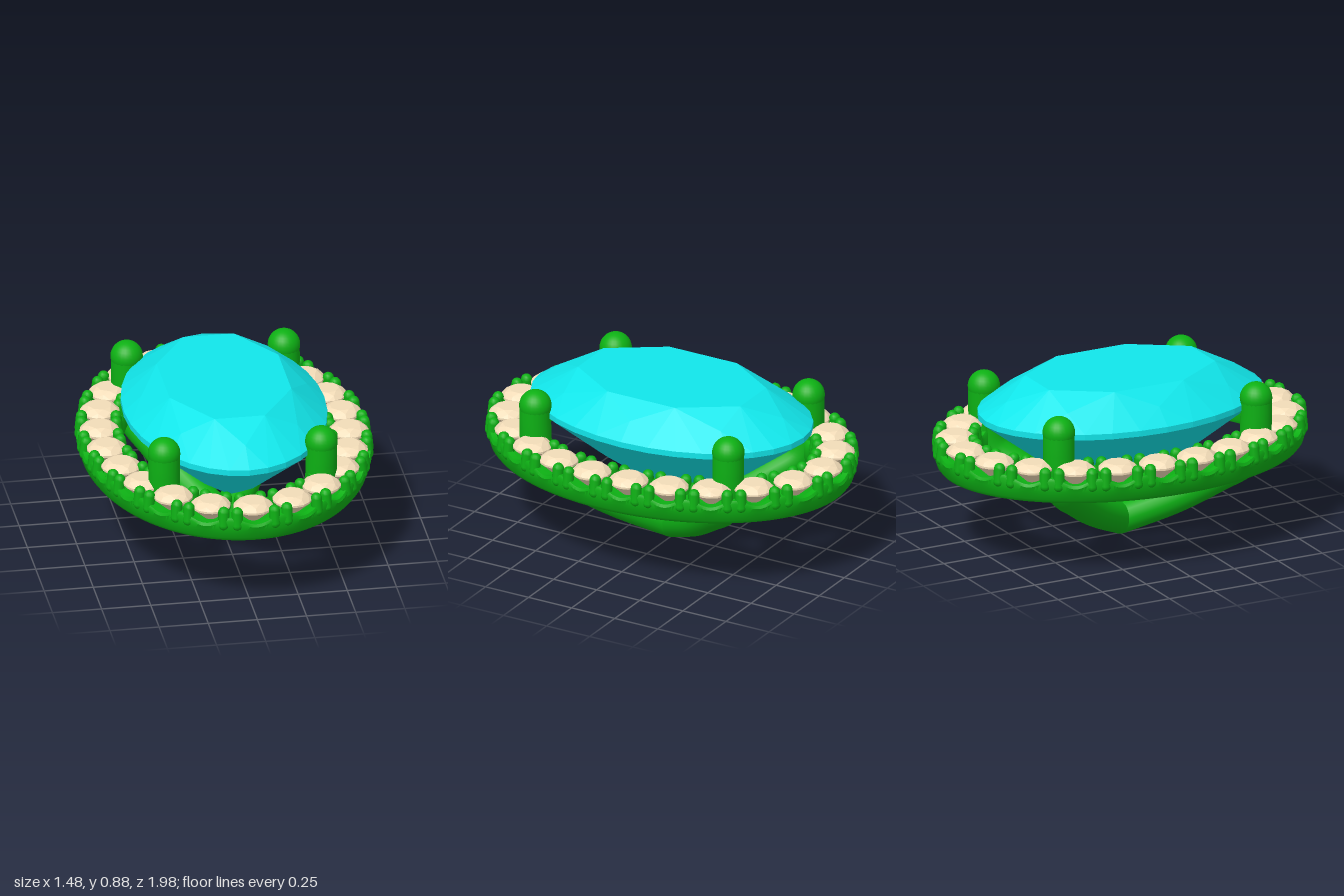
import * as THREE from 'three';
import { ConvexGeometry } from 'three/addons/geometries/ConvexGeometry.js';
import { toCreasedNormals } from 'three/addons/utils/BufferGeometryUtils.js';

const metal = new THREE.MeshStandardMaterial({ color: 0x0db014 });
const gemMat = new THREE.MeshStandardMaterial({ color: 0x11e6ea, flatShading: true });
const stoneMat = new THREE.MeshStandardMaterial({ color: 0xf2dcb8, flatShading: true });
const STONES = 22;

// Centre line of the halo, starting at the front end
const oval = new THREE.EllipseCurve(0, 0, 0.62, 0.875, Math.PI / 2, Math.PI * 2.5);
oval.arcLengthDivisions = 2000;

function frameAt(u) {
  const w = u - Math.floor(u);
  const p = oval.getPointAt(w), t = oval.getTangentAt(w);
  return { x: p.x, z: p.y, nx: t.y, nz: -t.x };
}

function add(parent, name, geometry, material, x = 0, y = 0, z = 0) {
  const mesh = new THREE.Mesh(geometry, material);
  mesh.name = name;
  mesh.position.set(x, y, z);
  parent.add(mesh);
  return mesh;
}

// Faceted stone: hull of oval rings [count, rx, rz, y, half-step offset]
function facetedStone(rings, culetY) {
  const pts = [new THREE.Vector3(0, culetY, 0)];
  for (const [n, rx, rz, y, offset] of rings) {
    for (let i = 0; i < n; i++) {
      const a = ((i + offset) / n) * Math.PI * 2;
      pts.push(new THREE.Vector3(Math.cos(a) * rx, y, Math.sin(a) * rz));
    }
  }
  return new ConvexGeometry(pts);
}

// Halo band: a cross-section swept round the oval, its rim dipping at each stone
function haloGeometry() {
  const steps = STONES * 16, pos = [], index = [];
  let m = 0;
  for (let i = 0; i < steps; i++) {
    const f = frameAt(i / steps);
    const dip = 0.5 + 0.5 * Math.cos((i / 16) * Math.PI * 2);
    const rim = 0.56 - 0.035 * dip;
    const section = [
      [0.06, 0.42], [0.08, 0.425], [0.095, 0.445], [0.108, 0.49], [0.115, rim - 0.015],
      [0.108, rim], [0.08, rim], [0.07, 0.51],
      [-0.07, 0.51], [-0.08, rim], [-0.108, rim], [-0.118, rim - 0.015],
      [-0.12, 0.44], [-0.11, 0.42],
    ];
    m = section.length;
    for (const [d, y] of section) pos.push(f.x + f.nx * d, y, f.z + f.nz * d);
  }
  for (let i = 0; i < steps; i++) {
    for (let j = 0; j < m; j++) {
      const i2 = (i + 1) % steps, j2 = (j + 1) % m;
      const a = i * m + j, b = i * m + j2, c = i2 * m + j2, d = i2 * m + j;
      index.push(a, b, d, b, c, d);
    }
  }
  const g = new THREE.BufferGeometry();
  g.setAttribute('position', new THREE.Float32BufferAttribute(pos, 3));
  g.setIndex(index);
  return toCreasedNormals(g, 0.7);
}

export function createModel() {
  const model = new THREE.Group();
  model.name = 'ovalHaloSetting';

  // Large oval centre stone
  add(model, 'centreStone', facetedStone([
    [8, 0.335, 0.51, 0.875, 0.5],
    [8, 0.42, 0.645, 0.8, 0],
    [32, 0.51, 0.765, 0.72, 0],
    [32, 0.51, 0.765, 0.69, 0],
    [16, 0.21, 0.42, 0.43, 0],
    [8, 0.055, 0.17, 0.3, 0],
  ], 0.255), gemMat);

  add(model, 'haloBand', haloGeometry(), metal);

  // Small round stones, with two pairs of claws in each gap between them
  const stoneGeo = facetedStone([
    [8, 0.06, 0.06, 0.61, 0.5],
    [8, 0.083, 0.083, 0.598, 0],
    [16, 0.1, 0.1, 0.58, 0],
    [16, 0.1, 0.1, 0.57, 0],
  ], 0.48);
  const clawGeo = new THREE.CapsuleGeometry(0.029, 0.065, 4, 10);
  const at = (name, u) => {
    const f = frameAt(u);
    const g = new THREE.Group();
    g.name = name;
    g.position.set(f.x, 0, f.z);
    g.rotation.y = Math.atan2(f.nx, f.nz);
    model.add(g);
    return g;
  };
  for (let i = 0; i < STONES; i++) {
    add(at('haloStoneSeat', i / STONES), 'haloStone', stoneGeo, stoneMat);
    const gap = at('haloClaws', (i + 0.5) / STONES);
    for (const side of [-1, 1]) {
      for (const d of [-0.09, 0.09]) {
        const claw = add(gap, 'claw', clawGeo, metal, side * 0.034, 0.55, d);
        claw.rotation.x = -Math.sign(d) * 0.1;
      }
    }
  }

  // Four struts rising from the base hub and turning up into round-tipped prongs
  const path = [[0, 0.08], [0.4, 0.2], [0.72, 0.325], [0.93, 0.42], [0.99, 0.53], [1, 0.64], [1, 0.75]];
  const tipGeo = new THREE.SphereGeometry(0.082, 24, 16);
  for (const sx of [-1, 1]) {
    for (const sz of [-1, 1]) {
      const curve = new THREE.CatmullRomCurve3(
        path.map(([t, y]) => new THREE.Vector3(sx * 0.4 * t, y, sz * 0.56 * t)));
      add(model, 'prongStrut', new THREE.TubeGeometry(curve, 48, 0.08, 20), metal);
      add(model, 'prongTip', tipGeo, metal, sx * 0.4, 0.75, sz * 0.56);
    }
  }
  add(model, 'baseHub', new THREE.SphereGeometry(0.08, 24, 16), metal, 0, 0.08, 0);

  return model;
}
